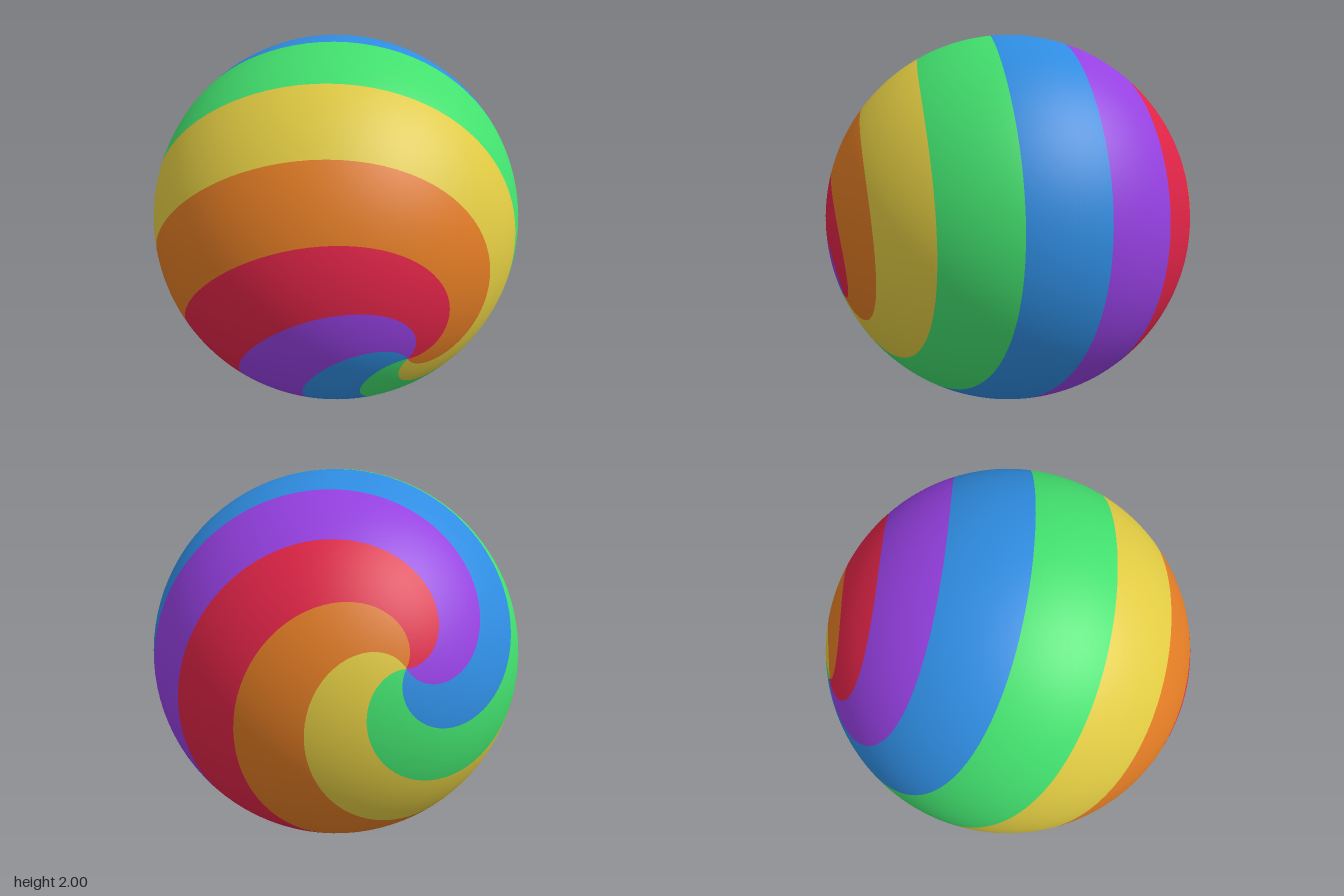
import * as THREE from 'three';

const colours = [
  ['red', 0xe02447], ['orange', 0xe07b24], ['yellow', 0xe0ca42],
  ['green', 0x42e06e], ['blue', 0x2f8de2], ['purple', 0x9640e2],
];

// Twist of the swirl (degrees) at polar angle theta (degrees) from the front pole
function twist(theta) {
  const d = theta - 90;
  return 295.7 + 2.4 * d + 3.7e-5 * d ** 3;
}

// One sixth of a sphere, its rows turned about the axis into a spiral band
function spiralBand(index, basis) {
  const step = Math.PI / colours.length * 2;
  const geometry = new THREE.SphereGeometry(1, 16, 120, 0, step);
  const pos = geometry.attributes.position;
  const up = new THREE.Vector3(0, 1, 0);
  const p = new THREE.Vector3();
  for (let i = 0; i < pos.count; i++) {
    p.fromBufferAttribute(pos, i);
    const theta = THREE.MathUtils.radToDeg(Math.acos(THREE.MathUtils.clamp(p.y, -1, 1)));
    p.applyAxisAngle(up, THREE.MathUtils.degToRad(twist(theta)) - (index + 1) * step);
    p.applyMatrix4(basis).normalize();
    pos.setXYZ(i, p.x, p.y, p.z);
    geometry.attributes.normal.setXYZ(i, p.x, p.y, p.z);
  }
  return geometry;
}

export function createModel() {
  const ball = new THREE.Group();
  ball.name = 'swirlBall';

  // Tilted axis: the bands meet low on the front and high on the back
  const pole = new THREE.Vector3(0.22, -0.32, 0.92).normalize();
  const side = new THREE.Vector3(1, 0, 0).addScaledVector(pole, -pole.x).normalize();
  const third = new THREE.Vector3().crossVectors(pole, side);
  const basis = new THREE.Matrix4().makeBasis(side.clone().negate(), pole, third);

  // Six spiral bands make the ball
  colours.forEach(([name, hex], i) => {
    const material = new THREE.MeshStandardMaterial({ color: hex });
    material.name = name;
    const band = new THREE.Mesh(spiralBand(i, basis), material);
    band.name = `${name}Band`;
    band.position.y = 1;
    ball.add(band);
  });
  return ball;
}
